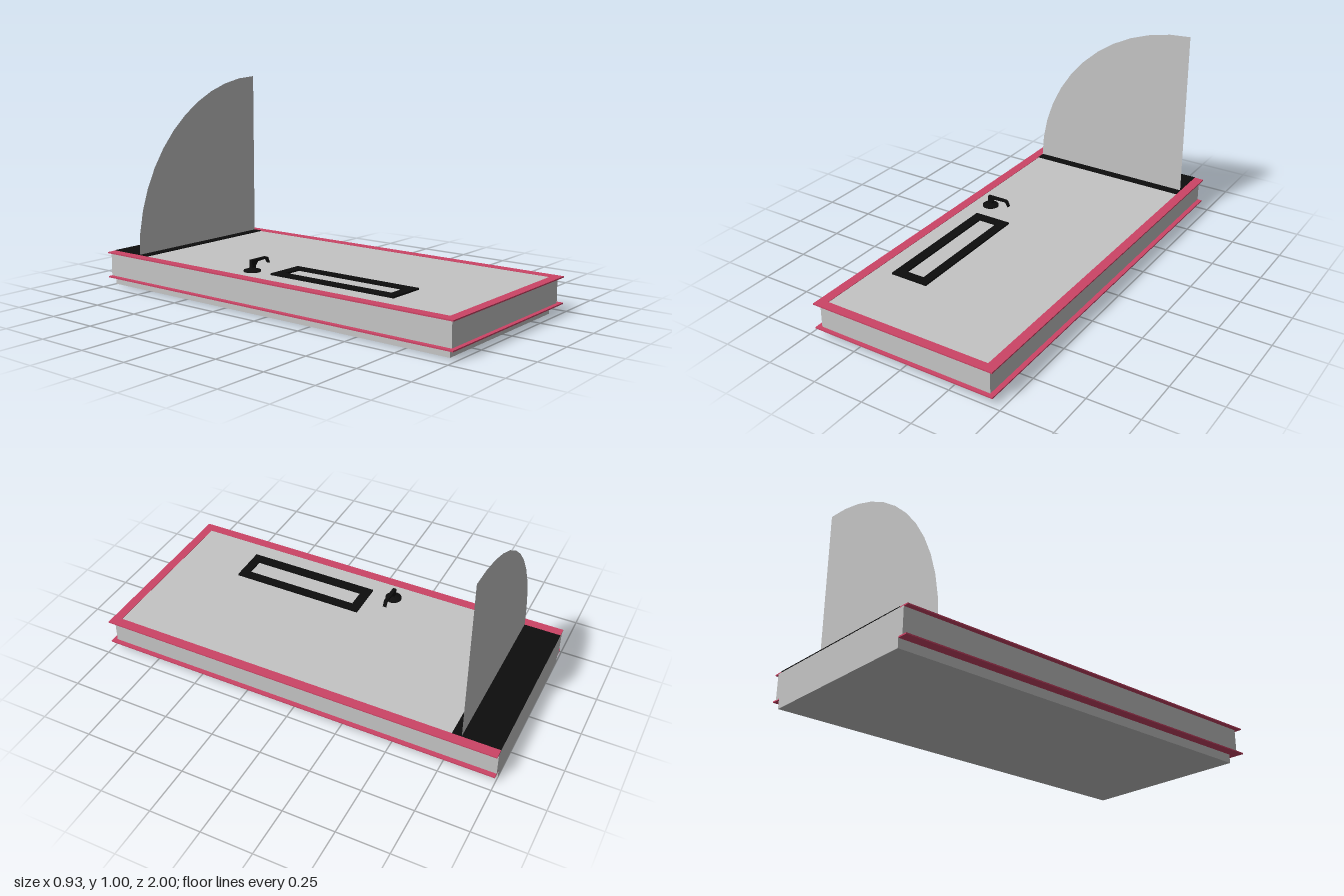
import * as THREE from 'three';

export function createModel() {
  const model = new THREE.Group();
  const material = (name, color, side = THREE.FrontSide) => {
    const m = new THREE.MeshStandardMaterial({ color, side });
    m.name = name;
    return m;
  };
  const grey = material('light grey', 0xc4c4c4, THREE.DoubleSide);
  const pink = material('rose trim', 0xcc4466);
  const black = material('black', 0x0d0d0d);

  const add = (name, geometry, mat, parent = model) => {
    const mesh = new THREE.Mesh(geometry, mat);
    mesh.name = name;
    parent.add(mesh);
    return mesh;
  };
  // Box given by its lower and upper limits on each axis
  const box = (name, mat, [x0, x1], [y0, y1], [z0, z1], parent) => {
    const g = new THREE.BoxGeometry(x1 - x0, y1 - y0, z1 - z0);
    g.translate((x0 + x1) / 2, (y0 + y1) / 2, (z0 + z1) / 2);
    return add(name, g, mat, parent);
  };

  // Door leaf, lying flat
  box('doorLeaf', grey, [-0.417, 0.417], [0, 0.168], [-1, 0.957]);

  // Jambs and head around the leaf, open at the threshold end
  for (const s of [-1, 1]) {
    box('jamb', grey, s < 0 ? [-0.442, -0.417] : [0.417, 0.442], [0.045, 0.166], [-1, 0.98]);
  }
  box('headJamb', grey, [-0.417, 0.417], [0.045, 0.166], [0.957, 0.98]);

  // U-shaped casings on both faces of the wall
  const casing = new THREE.Shape([
    [-0.465, 1], [-0.465, -1], [0.465, -1], [0.465, 1], [0.417, 1],
    [0.417, -0.955], [-0.417, -0.955], [-0.417, 1],
  ].map(([x, y]) => new THREE.Vector2(x, y)));
  for (const [name, y] of [['lowerCasing', 0.042], ['upperCasing', 0.164]]) {
    const g = new THREE.ExtrudeGeometry(casing, { depth: 0.006, bevelEnabled: false });
    g.rotateX(-Math.PI / 2);
    add(name, g, pink).position.y = y;
  }

  // Kick plate at the foot of the door
  box('kickPlate', black, [-0.417, 0.417], [0.166, 0.172], [-1, -0.775]);

  // Quarter-circle swing sheet
  const swing = add('swingArc', new THREE.CircleGeometry(0.835, 12, Math.PI / 2, Math.PI / 2), grey);
  swing.position.set(0.416, 0.17, -0.82);

  // Window surround
  const surround = new THREE.Shape([
    new THREE.Vector2(-0.33, -0.625), new THREE.Vector2(-0.14, -0.625),
    new THREE.Vector2(-0.14, 0.05), new THREE.Vector2(-0.33, 0.05),
  ]);
  surround.holes.push(new THREE.Path([
    new THREE.Vector2(-0.28, -0.58), new THREE.Vector2(-0.28, 0.003),
    new THREE.Vector2(-0.186, 0.003), new THREE.Vector2(-0.186, -0.58),
  ]));
  const surroundGeometry = new THREE.ExtrudeGeometry(surround, { depth: 0.009, bevelEnabled: false });
  surroundGeometry.rotateX(-Math.PI / 2);
  add('windowSurround', surroundGeometry, black).position.y = 0.167;

  // Handle: rose with a tapered neck, then a lever bent down at its tip
  const handle = new THREE.Group();
  handle.name = 'handle';
  handle.position.set(-0.325, 0.167, -0.165);
  model.add(handle);
  const rose = [[0.04, 0], [0.04, 0.008], [0.02, 0.013], [0.012, 0.02], [0, 0.02]];
  add('rose', new THREE.LatheGeometry(rose.map(([x, y]) => new THREE.Vector2(x, y)), 24), black, handle);
  const lever = new THREE.Shape([
    [-0.011, 0.012], [0.013, 0.012], [0.015, 0.027], [0.03, 0.044], [0.092, 0.047],
    [0.108, 0.023], [0.111, 0.025], [0.099, 0.052], [0.092, 0.055], [-0.011, 0.055],
  ].map(([x, y]) => new THREE.Vector2(x, y)));
  const leverGeometry = new THREE.ExtrudeGeometry(lever, { depth: 0.018, bevelEnabled: false });
  leverGeometry.translate(0, 0, -0.009);
  add('lever', leverGeometry, black, handle);

  return model;
}
